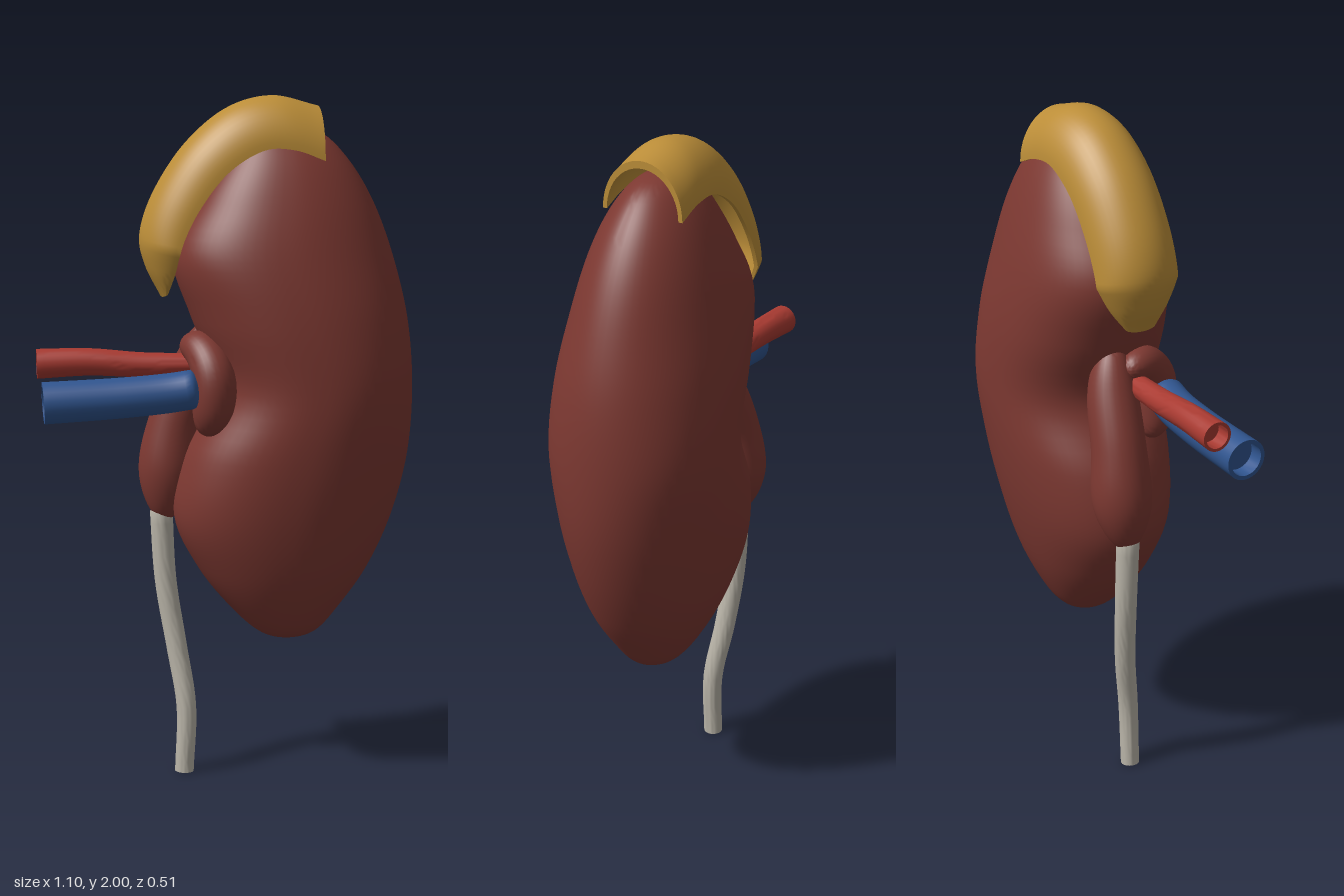
import * as THREE from 'three';
import { toCreasedNormals } from 'three/addons/utils/BufferGeometryUtils.js';

const V = (x, y, z = 0) => new THREE.Vector3(x, y, z);
const material = (name, color, side = THREE.FrontSide) => {
  const m = new THREE.MeshStandardMaterial({ color, side });
  m.name = name;
  return m;
};

// Skin a row of closed rings that all have the same number of points
function loft(rings, crease = 0.9) {
  const n = rings[0].length, index = [];
  for (let i = 0; i < rings.length - 1; i++) {
    for (let j = 0; j < n; j++) {
      const k = (j + 1) % n, a = i * n, b = a + n;
      index.push(a + j, a + k, b + j, a + k, b + k, b + j);
    }
  }
  const g = new THREE.BufferGeometry().setFromPoints(rings.flat());
  g.setIndex(index);
  g.computeVertexNormals();
  return toCreasedNormals(g, crease);
}

// Round tube along a path; stations are [position 0..1, radius]
function tube(path, stations, sides = 28) {
  const curve = new THREE.CatmullRomCurve3(path), steps = 100;
  const frames = curve.computeFrenetFrames(steps);
  return loft(stations.map(([t, r]) => {
    const c = curve.getPointAt(t), f = Math.round(t * steps);
    return Array.from({ length: sides }, (_, j) => {
      const a = (j / sides) * Math.PI * 2;
      return c.clone().addScaledVector(frames.normals[f], r * Math.cos(a))
        .addScaledVector(frames.binormals[f], r * Math.sin(a));
    });
  }));
}

// Vessel: hollow mouth at the start, rounded tip at the end
function vessel(path, r0, r1) {
  const st = [[0.1, 0], [0.1, r0 * 0.8], [0, r0 * 0.8], [0, r0]];
  for (let i = 1; i <= 24; i++) st.push([i / 25, r0 + (r1 - r0) * i / 25]);
  st.push([0.98, r1 * 0.85], [1, r1 * 0.5], [1, 0]);
  return tube(path, st);
}

// Soft lobe: tube with smoothly varying radius and domed ends
function lobe(path, radii) {
  const curve = new THREE.CatmullRomCurve3(radii.map((r, i) => V(i, r)), false, 'catmullrom');
  const st = [];
  for (let i = 0; i <= 40; i++) {
    const t = (1 - Math.cos(Math.PI * i / 40)) / 2;
    const dome = Math.min(1, Math.sqrt(1 - Math.pow(Math.abs(2 * t - 1), 5)));
    st.push([t, curve.getPoint(t).y * dome]);
  }
  return tube(path, st);
}

// Bean-shaped body from horizontal sections: [y, left x, right x, half depth]
function bodyGeometry() {
  const rows = [
    [0.405, 0.18, 0.18, 0], [0.431, 0.095, 0.265, 0.07], [0.507, 0.01, 0.335, 0.125],
    [0.628, -0.085, 0.42, 0.178], [0.785, -0.155, 0.49, 0.218], [0.968, -0.125, 0.535, 0.244],
    [1.165, -0.03, 0.546, 0.254], [1.362, -0.1, 0.53, 0.246], [1.545, -0.155, 0.485, 0.217],
    [1.702, -0.08, 0.425, 0.173], [1.823, 0.0, 0.35, 0.122], [1.899, 0.06, 0.265, 0.065],
    [1.925, 0.14, 0.14, 0],
  ];
  const spline = f => new THREE.CatmullRomCurve3(rows.map(f), false, 'catmullrom');
  const outline = spline(r => V(r[1], r[0], r[2])), depth = spline(r => V(r[3], 0));
  const rings = [];
  for (let i = 0; i <= 72; i++) {
    const p = outline.getPoint(i / 72), rz = Math.max(0, depth.getPoint(i / 72).x);
    const cx = (p.x + p.z) / 2, rx = (p.z - p.x) / 2, cz = 0.02 - 0.03 * i / 72;
    rings.push(Array.from({ length: 64 }, (_, j) => {
      const a = (j / 64) * Math.PI * 2, c = Math.cos(a);
      // The side towards the notch is fuller
      const x = c < 0 ? -Math.pow(-c, 0.82) : c;
      return V(cx + rx * x, p.y, cz - rz * Math.sin(a));
    }));
  }
  return loft(rings, 1.4);
}

// Arched cap shell: sections span from the lower edge over the outer ridge
function capGeometry() {
  const ridge = new THREE.CatmullRomCurve3([
    V(-0.19, 1.43), V(-0.235, 1.52), V(-0.25, 1.61), V(-0.21, 1.73),
    V(-0.12, 1.865), V(0.0, 1.965), V(0.13, 2.0), V(0.265, 1.97),
  ], false, 'catmullrom');
  const edge = new THREE.CatmullRomCurve3([
    V(-0.175, 1.44), V(-0.16, 1.5), V(-0.14, 1.59), V(-0.09, 1.69),
    V(-0.01, 1.79), V(0.09, 1.85), V(0.18, 1.85), V(0.265, 1.82),
  ], false, 'catmullrom');
  const rings = [], n = 24;
  for (let i = 0; i <= 48; i++) {
    const t = i / 48, o = ridge.getPoint(t), e = edge.getPoint(t);
    const w = 0.125 * Math.min(1, 0.4 + 2.4 * t);
    const arch = (k, s) => {
      const a = Math.PI * k / n;
      const p = e.clone().lerp(o, Math.sin(a) * s);
      return p.setZ(-0.003 - w * Math.cos(a) * (s < 1 ? 0.9 : 1));
    };
    const ring = [];
    for (let k = 0; k <= n; k++) ring.push(arch(k, 1));
    for (let k = n; k >= 0; k--) ring.push(arch(k, 0.86));
    rings.push(ring);
  }
  // Close the thickness at both ends
  const shut = r => r.map((_, k) => r[k].clone().lerp(r[r.length - 1 - k], 0.5));
  return loft([shut(rings[0]), ...rings, shut(rings[48])], 0.8);
}

export function createModel() {
  const group = new THREE.Group();
  const flesh = material('brownish red', 0x7c3831);
  const ochre = material('ochre', 0xbb8d38, THREE.DoubleSide);
  const red = material('artery red', 0xa83a31, THREE.DoubleSide);
  const blue = material('vein blue', 0x30558f, THREE.DoubleSide);
  const grey = material('warm grey', 0xb9b4a8, THREE.DoubleSide);
  const add = (name, geometry, mat) => {
    const mesh = new THREE.Mesh(geometry, mat);
    mesh.name = name;
    group.add(mesh);
  };

  add('kidneyBody', bodyGeometry(), flesh);
  add('adrenalCap', capGeometry(), ochre);

  // Funnel behind the vessels and the lip in front of the notch
  add('renalPelvis', lobe([
    V(-0.05, 1.35, -0.02), V(-0.08, 1.22, -0.035), V(-0.14, 1.06, -0.05),
    V(-0.165, 0.92, -0.055), V(-0.18, 0.76, -0.045),
  ], [0.06, 0.075, 0.08, 0.088, 0.06]), flesh);
  add('hilumLip', lobe([
    V(-0.12, 1.29, -0.01), V(-0.08, 1.28, 0.07), V(-0.055, 1.22, 0.122),
    V(-0.055, 1.13, 0.125), V(-0.075, 1.04, 0.1),
  ], [0.045, 0.055, 0.062, 0.062, 0.05]), flesh);

  add('artery', vessel([
    V(-0.55, 1.243, 0.005), V(-0.4, 1.246, 0.01), V(-0.25, 1.236, 0.02), V(-0.08, 1.235, 0.03),
  ], 0.043, 0.032), red);
  add('vein', vessel([
    V(-0.54, 1.146, 0.11), V(-0.32, 1.156, 0.112), V(-0.18, 1.168, 0.118), V(-0.095, 1.182, 0.13),
  ], 0.06, 0.056), blue);
  add('ureter', vessel([
    V(-0.127, 0, 0), V(-0.12, 0.2, -0.003), V(-0.145, 0.38, -0.03),
    V(-0.175, 0.58, -0.047), V(-0.188, 0.82, -0.048),
  ], 0.028, 0.034), grey);
  return group;
}
